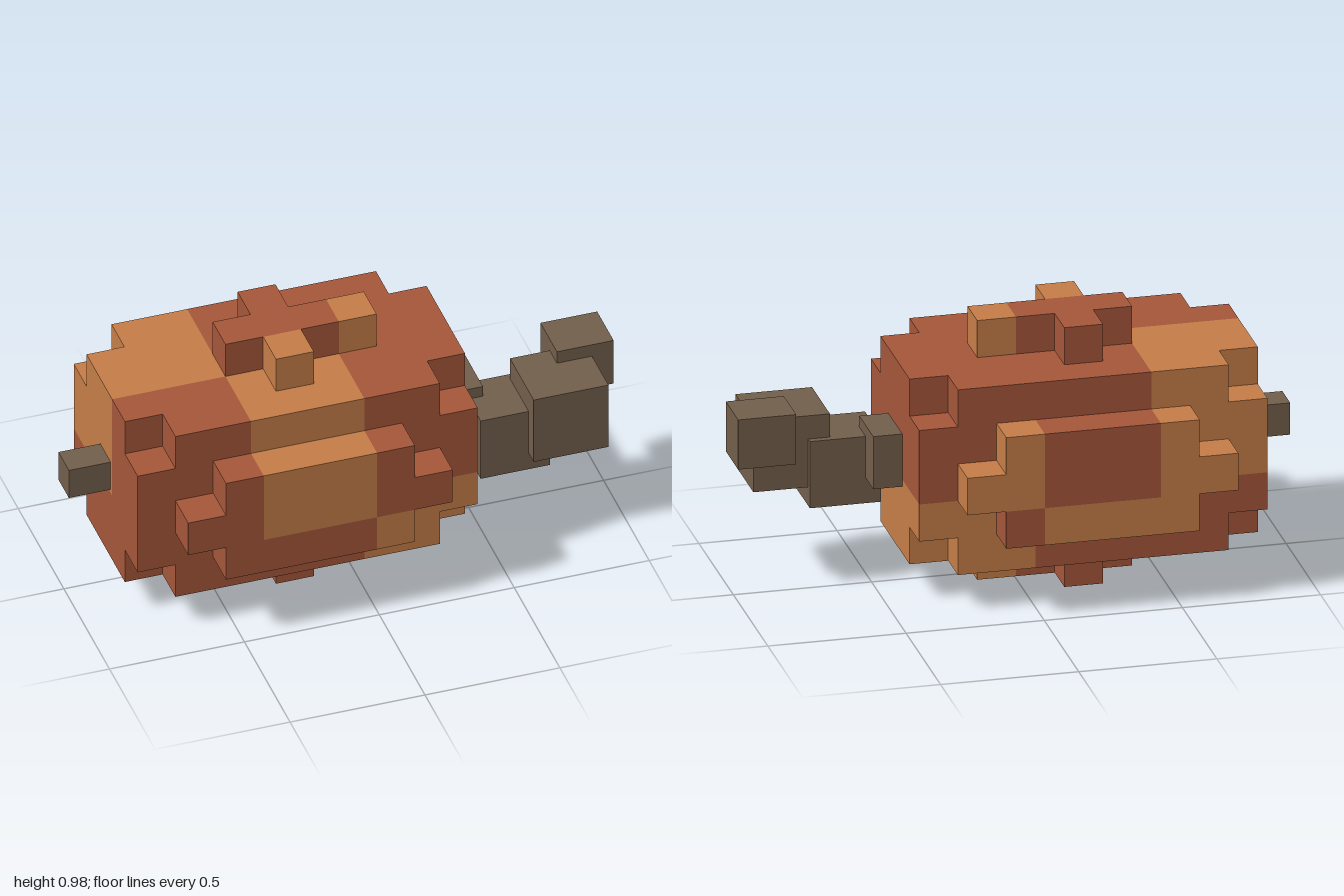
import * as THREE from 'three';
import { mergeGeometries } from 'three/addons/utils/BufferGeometryUtils.js';

const U = 0.14;                                   // voxel size
const ORIGIN = [-0.845, 0, -0.49];                // corner of the voxel grid
const CUTS = [[0, 3, 6, 9], [0, 3, 6, 7], [0, 1, 4, 7]]; // colour patch limits in x, y, z

// Patch colours: PATCH[y][z][x], r = rust, o = ochre
const PATCH = [
  ['oor', 'rro', 'rro'],
  ['oro', 'orr', 'ror'],
  ['oro', 'oro', 'roo'],
];

// Box from min and max corners
function box(min, max) {
  const s = max.map((v, i) => v - min[i]);
  return new THREE.BoxGeometry(...s).translate(...min.map((v, i) => v + s[i] / 2));
}

export function createModel() {
  const model = new THREE.Group();
  const mat = (name, color) => {
    const m = new THREE.MeshStandardMaterial({ color });
    m.name = name;
    return m;
  };
  const rust = mat('rust', 0xa5573a);
  const ochre = mat('ochre', 0xc67e48);
  const bark = mat('bark', 0x735f4c);

  // Voxel part: cuboids [x0, x1, y0, y1, z0, z1] divided along the colour patches
  function patchedPart(name, cuboids) {
    const geos = { r: [], o: [] };
    for (const c of cuboids)
      for (let x = 0; x < 3; x++)
        for (let y = 0; y < 3; y++)
          for (let z = 0; z < 3; z++) {
            const cell = [x, y, z];
            const lo = cell.map((n, a) => Math.max(c[2 * a], CUTS[a][n]));
            const hi = cell.map((n, a) => Math.min(c[2 * a + 1], CUTS[a][n + 1]));
            if (lo.some((v, a) => v >= hi[a])) continue;
            const world = (p) => p.map((v, a) => ORIGIN[a] + v * U);
            geos[PATCH[y][z][x]].push(box(world(lo), world(hi)));
          }
    const group = new THREE.Group();
    group.name = name;
    for (const [key, material] of [['r', rust], ['o', ochre]]) {
      if (!geos[key].length) continue;
      const mesh = new THREE.Mesh(mergeGeometries(geos[key]), material);
      mesh.name = `${name} ${material.name}`;
      group.add(mesh);
    }
    model.add(group);
  }

  // Main body, with end slices that lack their corner voxels
  const body = [[1, 8, 1, 6, 1, 6]];
  for (const x of [0, 8])
    body.push([x, x + 1, 2, 5, 1, 6], [x, x + 1, 1, 2, 2, 5], [x, x + 1, 5, 6, 2, 5]);
  patchedPart('body', body);

  // Raised plates on the front and back, with a nub at each end
  for (const [name, z] of [['backPlate', 0], ['frontPlate', 6]])
    patchedPart(name, [
      [2, 7, 2, 5, z, z + 1],
      [1, 2, 3, 4, z, z + 1],
      [7, 8, 3, 4, z, z + 1],
    ]);

  // Raised crosses above and below
  for (const [name, y] of [['bottomCross', 0], ['topCross', 6]])
    patchedPart(name, [
      [3, 7, y, y + 1, 3, 4],
      [4, 5, y, y + 1, 2, 3],
      [4, 5, y, y + 1, 4, 5],
    ]);

  // Crooked stem on one end and a small stub on the other
  const wood = [
    ['stub', [-1, 0.435, -0.06], [-0.8, 0.555, 0.055]],
    ['stemBase', [0.32, 0.393, -0.105], [0.52, 0.592, 0.098]],
    ['stemBend', [0.465, 0.298, 0.005], [0.722, 0.55, 0.235]],
    ['stemKnot', [0.643, 0.368, 0.03], [0.92, 0.638, 0.29]],
    ['stemTip', [0.79, 0.5, -0.07], [1, 0.688, 0.11]],
  ];
  for (const [name, min, max] of wood) {
    const mesh = new THREE.Mesh(box(min, max), bark);
    mesh.name = name;
    model.add(mesh);
  }
  return model;
}
